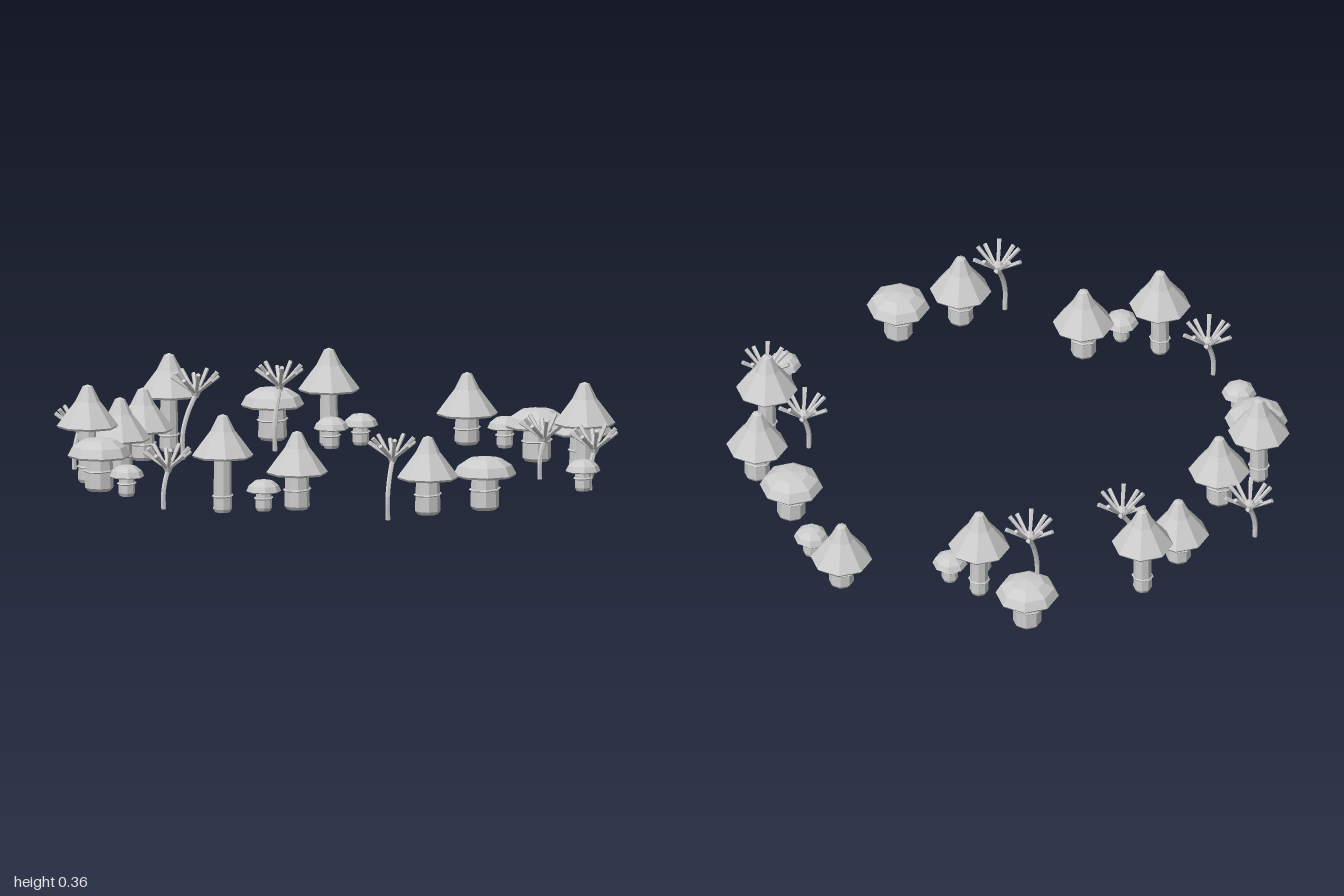
import * as THREE from 'three';

const material = new THREE.MeshStandardMaterial({ color: 0xcccccc, flatShading: true, side: THREE.DoubleSide });

function addMesh(parent, geometry, name) {
  const mesh = new THREE.Mesh(geometry, material);
  mesh.name = name;
  parent.add(mesh);
  return mesh;
}

const lathe = (points) => new THREE.LatheGeometry(points.map(([r, y]) => new THREE.Vector2(r, y)), 8);

// cap profiles from the underside centre, over the rim, to the tip (y measured from the rim)
const pointedCap = [[0, 0.012], [0.035, 0.012], [0.105, 0], [0.111, 0.008], [0.08, 0.05], [0.045, 0.096], [0.018, 0.15], [0, 0.157]];
const domeCap = [[0, 0.01], [0.05, 0.01], [0.108, 0], [0.114, 0.008], [0.097, 0.04], [0.06, 0.064], [0, 0.073]];
const smallCap = [[0, 0.005], [0.03, 0.005], [0.058, 0], [0.063, 0.004], [0.054, 0.024], [0.033, 0.041], [0, 0.047]];

const kinds = {
  tall: { cap: pointedCap, rim: 0.204, stem: 0.034, ring: 0.065, base: 0.005 },
  medium: { cap: pointedCap, rim: 0.133, stem: 0.046, ring: 0.078, base: 0.005 },
  short: { cap: pointedCap, rim: 0.11, stem: 0.045, ring: 0.065, base: 0.005 },
  dome: { cap: domeCap, rim: 0.124, stem: 0.052, ring: 0.078, base: 0.003 },
  small: { cap: smallCap, rim: 0.083, stem: 0.03, ring: 0.062, base: 0.015 },
};

function mushroom(kind) {
  const { cap, rim, stem: r, ring, base } = kinds[kind];
  const group = new THREE.Group();
  group.name = kind + 'Mushroom';
  addMesh(group, lathe(cap), 'cap').position.y = rim;
  addMesh(group, lathe([[0, base], [r * 0.8, base], [r, base + 0.012], [r * 0.97, ring], [r * 0.9, rim + 0.012]]), 'stem');
  // slightly tilted ring round the stem
  const band = addMesh(group, new THREE.TorusGeometry(r + 0.002, 0.004, 4, 8), 'stemRing');
  band.position.y = ring;
  band.rotation.x = Math.PI / 2 + 0.06;
  return group;
}

// stalk topped with a ball and a crown of rising arms; (dx, dz) shifts the foot
function tentaclePlant(height, dx, dz) {
  const group = new THREE.Group();
  group.name = 'tentaclePlant';
  const hub = height - 0.085;
  const path = new THREE.CatmullRomCurve3([
    new THREE.Vector3(dx, 0, dz),
    new THREE.Vector3(dx * 1.05, hub * 0.4, dz * 1.05),
    new THREE.Vector3(dx * 0.6, hub * 0.75, dz * 0.6),
    new THREE.Vector3(0, hub, 0),
  ]);
  addMesh(group, new THREE.TubeGeometry(path, 8, 0.009, 6), 'stalk');
  addMesh(group, lathe([[0, -0.012], [0.009, -0.012], [0.022, 0.018], [0, 0.022]]), 'cup').position.y = hub;
  addMesh(group, new THREE.SphereGeometry(0.021, 8, 5), 'centreBall').position.y = hub + 0.018;
  const count = 10;
  for (let i = 0; i < count; i++) {
    const a = (i / count) * Math.PI * 2 + 0.15;
    const reach = i % 2 ? 0.078 : 0.088;
    const rise = i % 2 ? 0.083 : 0.062;
    const start = new THREE.Vector3(Math.cos(a) * 0.012, hub + 0.01, Math.sin(a) * 0.012);
    const end = new THREE.Vector3(Math.cos(a) * reach, hub + rise, Math.sin(a) * reach);
    const direction = end.clone().sub(start);
    const arm = addMesh(group, new THREE.CylinderGeometry(0.0085, 0.006, direction.length(), 5), 'arm');
    arm.position.copy(start).add(end).multiplyScalar(0.5);
    arm.quaternion.setFromUnitVectors(new THREE.Vector3(0, 1, 0), direction.normalize());
  }
  return group;
}

// positions (x, z) round the ring
const mushrooms = {
  tall: [[0.71, -0.52], [0.18, 0.88], [-0.63, 0.66], [-0.865, -0.085], [-0.5, -0.545]],
  medium: [[0.545, -0.705], [0.78, 0.45], [0.345, 0.66], [-0.64, 0.465]],
  short: [[-0.14, -0.888], [-0.81, 0.13]],
  dome: [[0.29, -0.76], [0.86, 0.225], [-0.485, 0.77], [-0.75, -0.53]],
  small: [[0.055, -0.865], [0.905, -0.275], [0.315, 0.812], [-0.28, 0.863], [-0.385, -0.585], [-0.415, -0.455]],
};

// x, z, height, foot shift x, foot shift z
const plants = [
  [0.56, -0.475, 0.225, 0, 0.025], [0.855, -0.4, 0.225, 0, 0.025],
  [-0.045, 0.915, 0.225, 0, 0.025], [-0.88, 0.405, 0.22, 0, 0.025],
  [0.715, 0.57, 0.295, 0.02, 0.05], [-0.71, -0.05, 0.315, -0.01, 0.06],
  [-0.605, -0.395, 0.31, 0.015, 0.045],
];

export function createModel() {
  const model = new THREE.Group();
  model.name = 'mushroomRing';
  for (const [kind, spots] of Object.entries(mushrooms)) {
    for (const [x, z] of spots) {
      const m = mushroom(kind);
      m.position.set(x, 0, z);
      model.add(m);
    }
  }
  for (const [x, z, height, dx, dz] of plants) {
    const p = tentaclePlant(height, dx, dz);
    p.position.set(x, 0, z);
    model.add(p);
  }
  return model;
}
